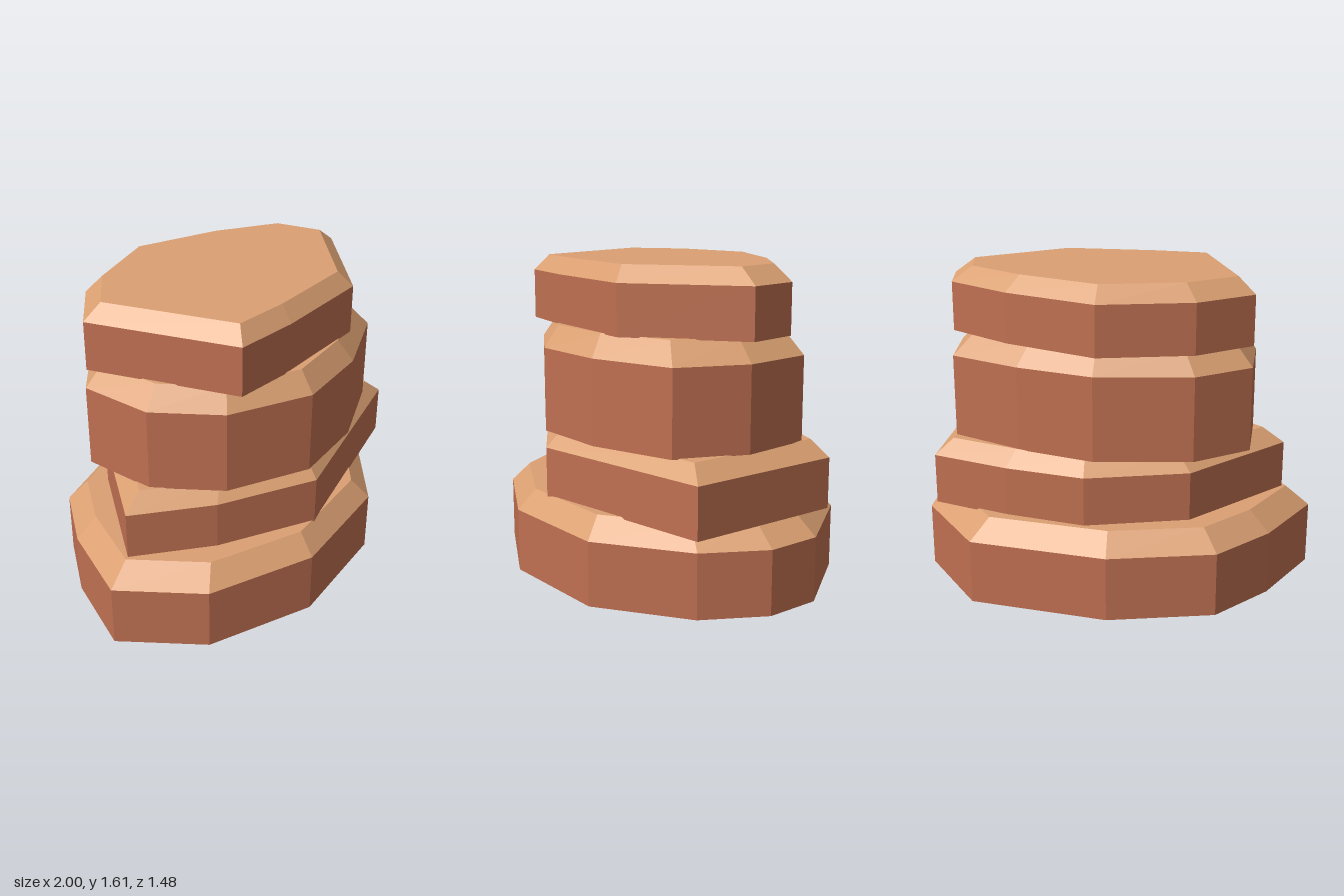
import * as THREE from 'three';

// Each slab: base height, shoulder height, cap height, top inset, cap shift in x,
// and the outline as [x, z] corners running clockwise seen from above.
const SLABS = [
  {
    name: 'bottomSlab', base: 0, shoulder: 0.325, cap: 0.43, inset: 0.875, shift: 0,
    outline: [[-1, 0.155], [-0.83, -0.27], [-0.61, -0.575], [-0.1, -0.745], [0.6, -0.705], [0.96, -0.315],
      [1, -0.03], [0.865, 0.295], [0.465, 0.65], [-0.16, 0.735], [-0.71, 0.53]],
  },
  {
    name: 'lowerSlab', base: 0.42, shoulder: 0.675, cap: 0.757, inset: 0.885, shift: 0.015,
    outline: [[-0.855, 0.13], [-0.45, -0.43], [0.04, -0.615], [0.45, -0.565], [0.86, -0.465],
      [0.96, 0.355], [-0.015, 0.635], [-0.5, 0.4]],
  },
  {
    name: 'upperSlab', base: 0.753, shoulder: 1.175, cap: 1.285, inset: 0.875, shift: 0,
    outline: [[-0.715, -0.25], [-0.47, -0.48], [0, -0.585], [0.4, -0.5], [0.78, -0.355], [0.865, 0.01],
      [0.765, 0.37], [0.355, 0.56], [-0.055, 0.615], [-0.465, 0.43], [-0.69, 0.13]],
  },
  {
    name: 'topSlab', base: 1.28, shoulder: 1.53, cap: 1.61, inset: 0.875, shift: 0,
    outline: [[-0.715, -0.235], [-0.47, -0.48], [-0.025, -0.63], [0.46, -0.455], [0.81, -0.25], [0.89, 0.015],
      [0.44, 0.475], [-0.1, 0.505], [-0.43, 0.49]],
  },
];

// Lift an outline to a ring of points at height y
const ring = (outline, y, scale = 1, shift = 0) =>
  outline.map(([x, z]) => new THREE.Vector3(x * scale + shift, y, z * scale));

// Faceted band between two rings, closed by a flat cap on the lower or upper ring
function bandWithCap(low, high, capOnTop) {
  const points = [];
  const capRing = capOnTop ? high : low;
  const centre = new THREE.Vector3(0, capRing[0].y, 0);
  low.forEach((_, i) => {
    const j = (i + 1) % low.length;
    points.push(low[j], low[i], high[i], low[j], high[i], high[j]);
    if (capOnTop) points.push(centre, high[j], high[i]);
    else points.push(centre, low[i], low[j]);
  });
  const geometry = new THREE.BufferGeometry().setFromPoints(points);
  geometry.computeVertexNormals();
  return geometry;
}

export function createModel() {
  const rockSide = new THREE.MeshStandardMaterial({ name: 'redRock', color: 0xbf7051 });
  const rockTop = new THREE.MeshStandardMaterial({ name: 'sandyTop', color: 0xdba072 });

  const model = new THREE.Group();
  model.name = 'layeredRock';

  for (const { name, base, shoulder, cap, inset, shift, outline } of SLABS) {
    const slab = new THREE.Group();
    slab.name = name;

    // Upright walls with the underside
    const walls = new THREE.Mesh(bandWithCap(ring(outline, base), ring(outline, shoulder), false), rockSide);
    walls.name = 'walls';

    // Sloping rim with the flat top
    const top = new THREE.Mesh(
      bandWithCap(ring(outline, shoulder), ring(outline, cap, inset, shift), true), rockTop);
    top.name = 'bevelledTop';

    slab.add(walls, top);
    model.add(slab);
  }
  return model;
}
